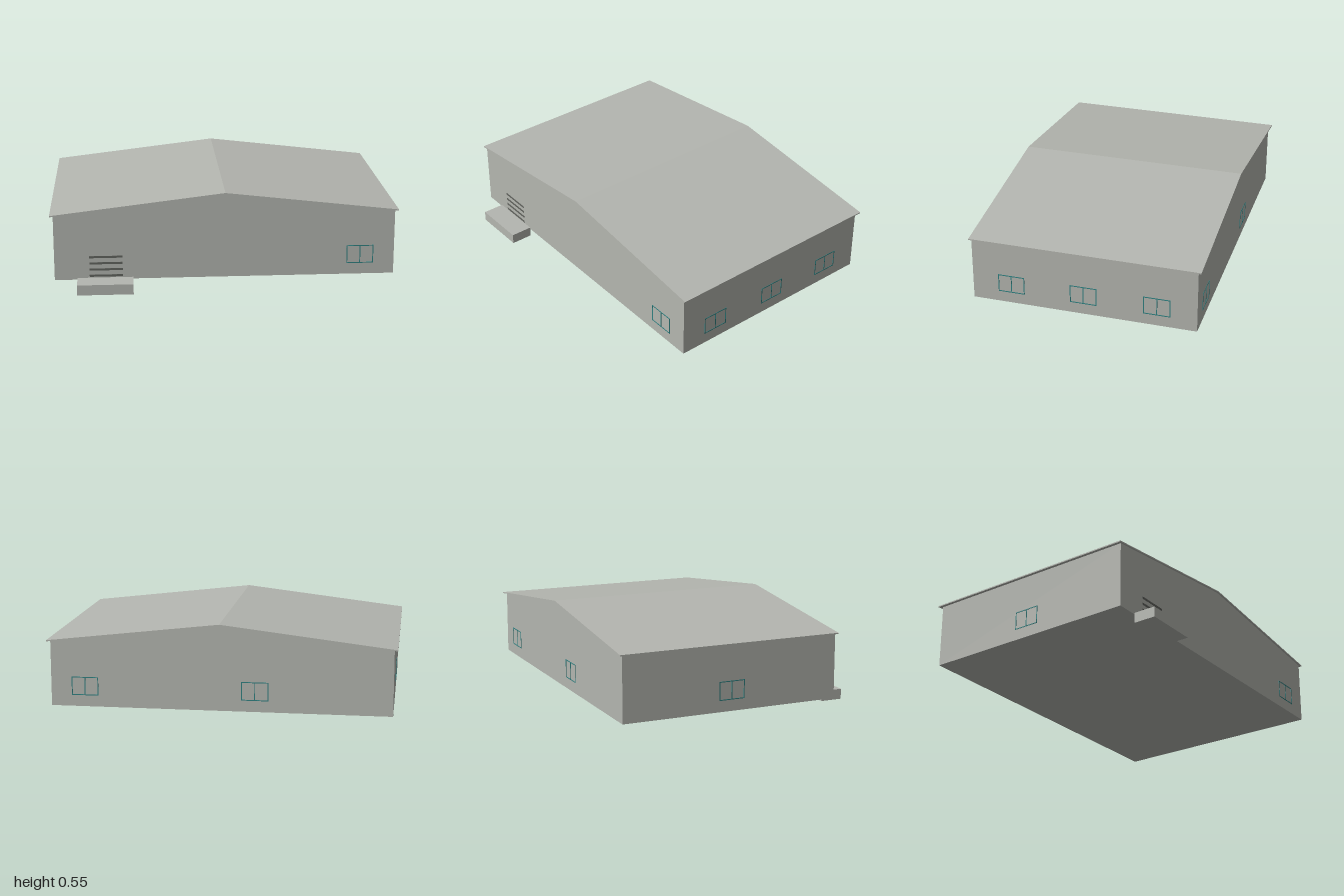
import * as THREE from 'three';

const mat = (name, color) => {
  const m = new THREE.MeshStandardMaterial({ color });
  m.name = name;
  return m;
};

export function createModel() {
  const group = new THREE.Group();
  const grey = mat('concrete grey', 0xb4b6b0);
  const teal = mat('frame teal', 0x2f8080);
  const dark = mat('door dark grey', 0x62645f);

  const add = (name, geo, material, parent = group) => {
    const mesh = new THREE.Mesh(geo, material);
    mesh.name = name;
    parent.add(mesh);
    return mesh;
  };
  const box = (name, w, h, d, x, y, z, material, parent) =>
    add(name, new THREE.BoxGeometry(w, h, d), material, parent).position.set(x, y, z);

  // Extrude an outline along z between two depths
  const extrude = (points, z0, z1) => {
    const shape = new THREE.Shape(points.map(([x, y]) => new THREE.Vector2(x, y)));
    return new THREE.ExtrudeGeometry(shape, { depth: z1 - z0, bevelEnabled: false }).translate(0, 0, z0);
  };

  // Gabled walls and floor
  add('walls', extrude([[-0.98, 0.05], [0.98, 0.05], [0.98, 0.431], [0, 0.546], [-0.98, 0.431]], -0.71, 0.6), grey);

  // Thin folded roof with a small overhang
  add('roof', extrude([[-1, 0.429], [0, 0.546], [1, 0.429], [1, 0.436], [0, 0.553], [-1, 0.436]], -0.73, 0.61), grey);

  // Entrance step
  box('entranceStep', 0.32, 0.06, 0.13, -0.69, 0.03, 0.665, grey);

  // Slatted entrance door
  const door = new THREE.Group();
  door.name = 'door';
  group.add(door);
  for (let i = 0; i < 4; i++) box('doorSlat', 0.19, 0.012, 0.003, -0.685, 0.072 + i * 0.0373, 0.6005, dark, door);

  // Thin two-pane window frame, facing +z before it is turned
  const addWindow = (x, z, turn) => {
    const frame = new THREE.Group();
    frame.name = 'windowFrame';
    const w = 0.156, h = 0.108, t = 0.005, d = 0.004;
    for (const s of [-1, 0, 1]) box('upright', t, h, d, s * (w - t) / 2, 0, 0, teal, frame);
    for (const s of [-1, 1]) box('rail', w, t, d, 0, s * (h - t) / 2, 0, teal, frame);
    frame.position.set(x, 0.169, z);
    frame.rotation.y = turn;
    group.add(frame);
  };
  addWindow(0.782, 0.6, 0);
  for (const z of [0.37, -0.055, -0.48]) addWindow(0.98, z, Math.PI / 2);
  for (const x of [0.782, -0.2]) addWindow(x, -0.71, Math.PI);
  addWindow(-0.98, -0.055, -Math.PI / 2);

  return group;
}
